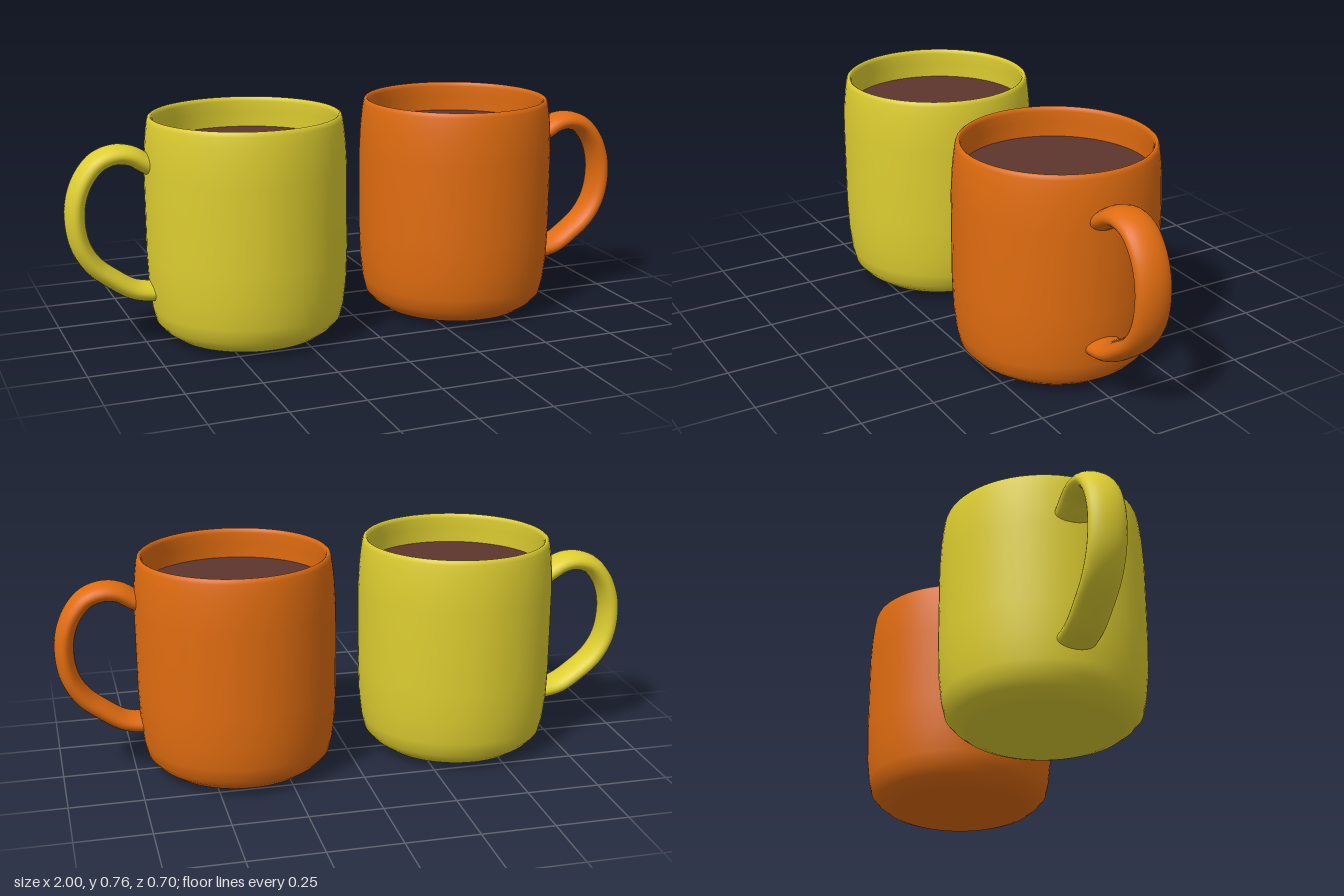
import * as THREE from 'three';

const material = (name, color) => {
  const m = new THREE.MeshStandardMaterial({ color });
  m.name = name;
  return m;
};

// One mug standing on y = 0, with its handle towards +x
function createMug(name, glaze, coffee) {
  const mug = new THREE.Group();
  mug.name = name;
  const add = (part, geometry, mat) => {
    const mesh = new THREE.Mesh(geometry, mat);
    mesh.name = part;
    mug.add(mesh);
    return mesh;
  };

  // Body: base, outer wall, thin lip, then the inner wall and floor
  const profile = [
    [0, 0], [0.12, 0.001], [0.235, 0.005], [0.262, 0.015], [0.292, 0.037], [0.316, 0.064],
    [0.327, 0.11], [0.336, 0.19], [0.34, 0.3], [0.34, 0.58], [0.336, 0.66], [0.331, 0.71],
    [0.326, 0.745], [0.322, 0.757], [0.316, 0.761], [0.31, 0.757], [0.307, 0.745],
    [0.309, 0.71], [0.312, 0.64], [0.312, 0.15], [0.27, 0.05], [0, 0.04],
  ].map(([r, y]) => new THREE.Vector2(r, y));
  add('body', new THREE.LatheGeometry(profile, 64), glaze);

  // Coffee surface below the lip
  const surface = new THREE.CircleGeometry(0.312, 64);
  surface.rotateX(-Math.PI / 2);
  add('coffee', surface, coffee).position.y = 0.655;

  // Handle: a tube widened sideways into an oval strap
  const path = [
    [0.295, 0.59], [0.345, 0.62], [0.385, 0.643], [0.435, 0.651], [0.495, 0.632],
    [0.542, 0.58], [0.57, 0.51], [0.576, 0.43], [0.56, 0.35], [0.52, 0.283],
    [0.455, 0.228], [0.395, 0.19], [0.345, 0.177], [0.295, 0.175],
  ].map(([x, y]) => new THREE.Vector3(x, y, 0));
  const thickness = 0.033;
  const strap = new THREE.TubeGeometry(new THREE.CatmullRomCurve3(path), 64, thickness, 24);
  strap.scale(1, 1, 0.0625 / thickness);
  add('handle', strap, glaze).position.z = 0.0225;

  return mug;
}

export function createModel() {
  const model = new THREE.Group();
  model.name = 'coffeeMugs';
  const coffee = material('coffee brown', 0x5c352e);

  const orange = createMug('orangeMug', material('orange glaze', 0xe06c10), coffee);
  orange.position.set(0.392, 0, -0.0115);

  // The second mug is turned half round so the handles point apart
  const yellow = createMug('yellowMug', material('yellow glaze', 0xddcd30), coffee);
  yellow.position.set(-0.392, 0, 0.0115);
  yellow.rotation.y = Math.PI;

  model.add(orange, yellow);
  return model;
}
